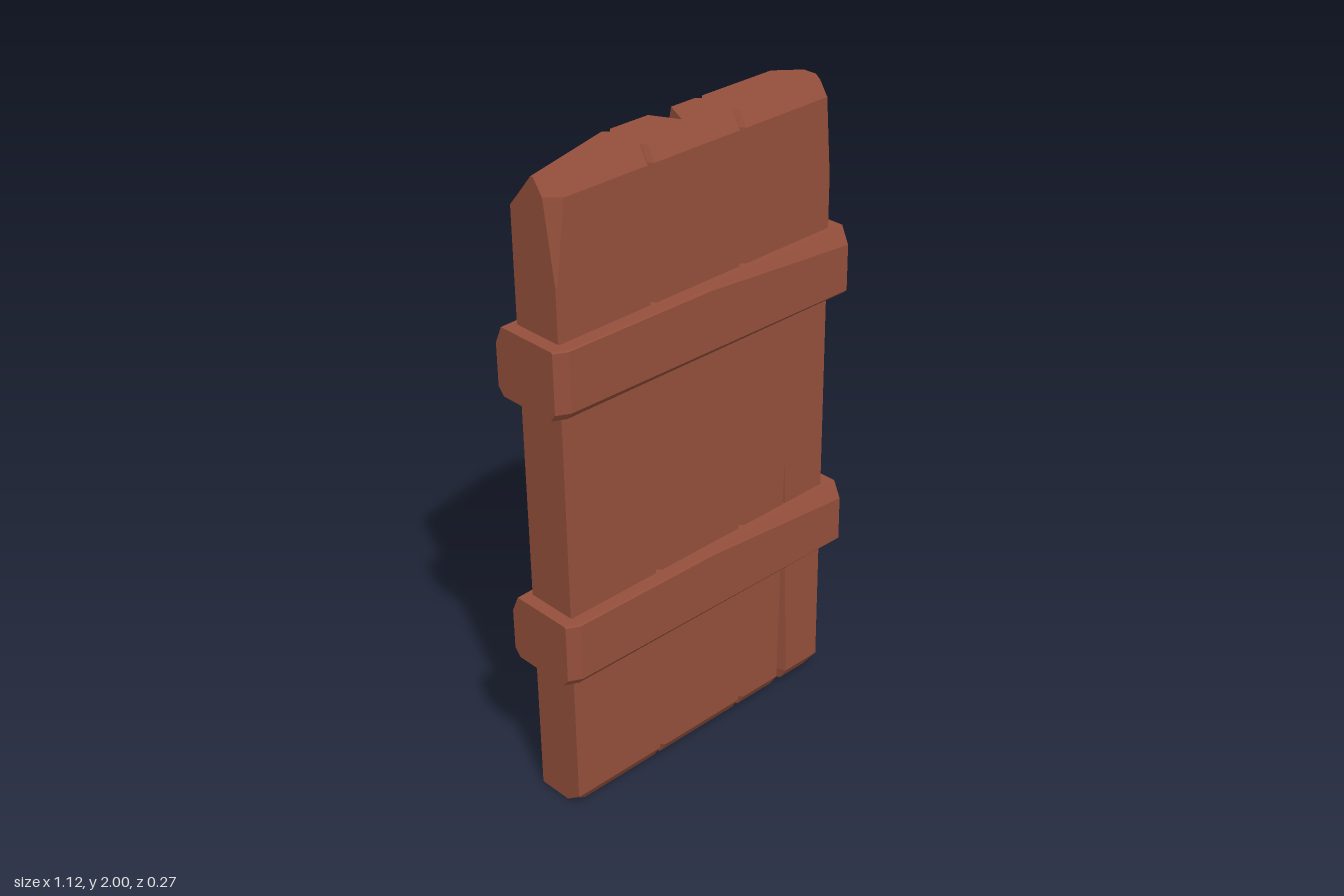
import * as THREE from 'three';

const wood = new THREE.MeshStandardMaterial({ color: 0x944f3b, flatShading: true });
const T = 1.985; // plank length

// Piecewise-linear value from keys [t, a, b, ...]
function at(keys, t) {
  if (t <= keys[0][0]) return keys[0].slice(1);
  for (let i = 1; i < keys.length; i++) {
    const p = keys[i - 1], q = keys[i];
    if (t <= q[0]) {
      const k = (t - p[0]) / (q[0] - p[0]);
      return p.slice(1).map((v, j) => v + (q[j + 1] - v) * k);
    }
  }
  return keys[keys.length - 1].slice(1);
}

// Outline at height y: rectangle with four chamfered corners and a V crack front and back
function section(s, y) {
  const [x0, x1] = at(s.x, y), [zb, zf] = at(s.z, y);
  const corner = (keys) => at(keys || s.edge, y).map((v) => Math.max(v, 0.0005));
  const fl = corner(s.fl), fr = corner(s.fr), br = corner(s.br), bl = corner(s.bl);
  const crack = (c, lo, hi, z, dir) => {
    const cx = c ? c.x : (lo + hi) / 2;
    const [h, d] = c ? at(c.keys, y) : [0, 0];
    const cl = (v) => Math.min(hi, Math.max(lo, v));
    return [[cl(cx - h), z], [cl(cx), z + dir * d], [cl(cx + h), z]];
  };
  return [
    [x0, zf - fl[1]], [x0 + fl[0], zf],
    ...crack(s.frontCrack, x0 + fl[0], x1 - fr[0], zf, -1),
    [x1 - fr[0], zf], [x1, zf - fr[1]],
    [x1, zb + br[1]], [x1 - br[0], zb],
    ...crack(s.backCrack, x0 + bl[0], x1 - br[0], zb, 1).reverse(),
    [x0 + bl[0], zb], [x0, zb + bl[1]],
  ];
}

// Joins the outlines at all levels into a closed, flat-shaded solid
function loft(name, s, levels) {
  const loops = levels.map((y) => section(s, y).map(([x, z]) => new THREE.Vector3(x, y, z)));
  const pos = [];
  const tri = (...v) => v.forEach((p) => pos.push(p.x, p.y, p.z));
  for (let k = 0; k + 1 < loops.length; k++) {
    const a = loops[k], b = loops[k + 1];
    a.forEach((p, i) => {
      const j = (i + 1) % a.length;
      tri(p, a[j], b[j]);
      tri(p, b[j], b[i]);
    });
  }
  for (const [loop, top] of [[loops[0], false], [loops[loops.length - 1], true]]) {
    const flat = loop.map((p) => new THREE.Vector2(p.x, -p.z));
    for (const [a, b, c] of THREE.ShapeUtils.triangulateShape(flat, [])) {
      if (top) tri(loop[a], loop[b], loop[c]);
      else tri(loop[a], loop[c], loop[b]);
    }
  }
  const g = new THREE.BufferGeometry();
  g.setAttribute('position', new THREE.Float32BufferAttribute(pos, 3));
  g.computeVertexNormals();
  const mesh = new THREE.Mesh(g, wood);
  mesh.name = name;
  return mesh;
}

export function createModel() {
  const group = new THREE.Group();
  group.name = 'plankDoor';
  const door = new THREE.Group();
  door.name = 'door';

  // Vertical planks, bevelled along the front of both ends
  const levels = [0, 0.04, 0.48, 0.86, 1.2, 1.34, 1.7, 1.88, 1.94, T];
  const z = [[0, -0.085, 0.06], [0.04, -0.085, 0.085], [1.94, -0.085, 0.085], [T, -0.085, 0.06]];
  const edge = [[0, 0.012, 0.014]];
  door.add(loft('leftEdgePlank', {
    x: [[0, -0.51, -0.175]], z, edge,
    fl: [[0, 0.04, 0.03], [0.04, 0.003, 0.003], [1.7, 0.003, 0.003], [T, 0.045, 0.045]],
    bl: [[0, 0.003, 0.003], [1.88, 0.003, 0.003], [T, 0.315, 0.09]],
    backCrack: { x: -0.32, keys: [[0, 0.03, 0.06], [0.6, 0, 0]] },
  }, levels));
  door.add(loft('middlePlank', {
    x: [[0, -0.175, 0.16]], z, edge,
    backCrack: { x: 0.015, keys: [[0, 0, 0], [1.2, 0, 0], [1.88, 0.02, 0.06], [T, 0.042, 0.085]] },
  }, levels));
  door.add(loft('rightEdgePlank', {
    x: [[0, 0.16, 0.5], [0.04, 0.16, 0.51]],
    z: [[0, -0.07, 0.06], ...z.slice(1)], edge,
    fr: [[0, 0.03, 0.03], [0.04, 0.008, 0.008], [1.7, 0.003, 0.003], [T, 0.025, 0.04]],
    br: [[0, 0.06, 0.08], [0.48, 0.02, 0.016], [1.34, 0.025, 0.025], [T, 0.07, 0.06]],
    frontCrack: { x: 0.342, keys: [[0, 0.022, 0.06], [0.86, 0, 0]] },
  }, levels));

  // Cross battens: lofted upright, then laid along x
  for (const [name, y] of [['upperBatten', 1.435], ['lowerBatten', 0.575]]) {
    const batten = loft(name, {
      x: [[0, -0.105, 0.105]],
      z: [[-0.55, -0.125, 0.105], [-0.51, -0.125, 0.125], [0.5, -0.125, 0.125], [0.55, -0.1, 0.125]],
      edge: [[-0.55, 0.025, 0.02], [0.55, 0.01, 0.01]],
      fl: [[-0.55, 0.004, 0.004], [0, 0.01, 0.006], [0.55, 0.055, 0.025]],
      bl: [[-0.55, 0.055, 0.025], [0, 0.01, 0.01], [0.55, 0.01, 0.01]],
    }, [-0.55, -0.51, 0, 0.5, 0.55]);
    batten.rotation.z = -Math.PI / 2;
    batten.position.y = y;
    door.add(batten);
  }

  // Slight crooked lean
  door.rotation.set(0, -0.018, 0.015);
  door.position.set(0.015, 0.008, 0);
  group.add(door);
  return group;
}
